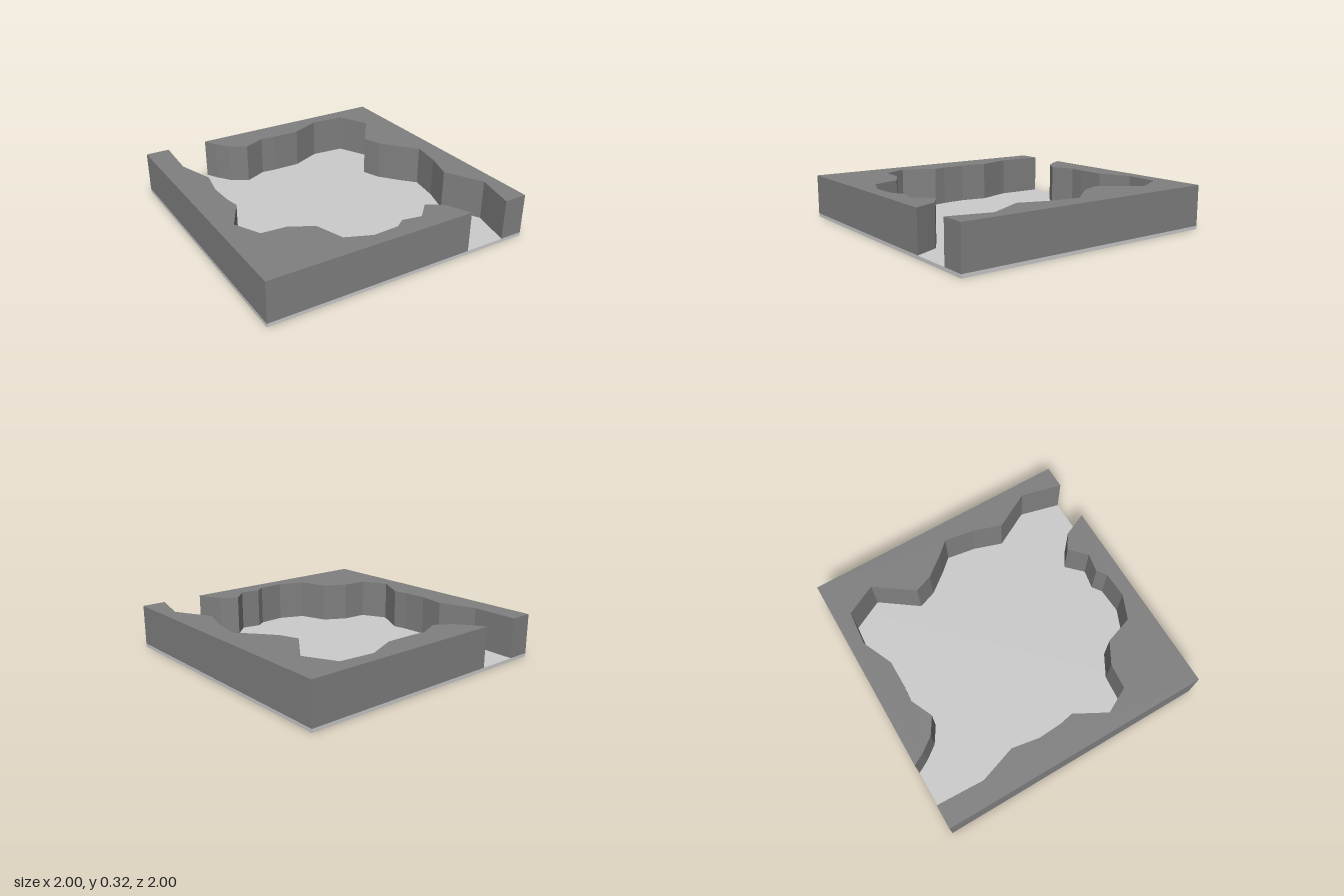
import * as THREE from 'three';

const FLOOR = 0.025, TOP = 0.32;

// Wall block: an outline in [x, z] raised from the floor to the top
function wall(name, outline, material) {
  const shape = new THREE.Shape(outline.map(([x, z]) => new THREE.Vector2(x, -z)));
  const geometry = new THREE.ExtrudeGeometry(shape, { depth: TOP - FLOOR, bevelEnabled: false });
  geometry.rotateX(-Math.PI / 2).translate(0, FLOOR, 0);
  const mesh = new THREE.Mesh(geometry, material);
  mesh.name = name;
  return mesh;
}

export function createModel() {
  const group = new THREE.Group();
  group.name = 'caveRoomTile';
  const rock = new THREE.MeshStandardMaterial({ color: 0x808080, flatShading: true });
  const ground = new THREE.MeshStandardMaterial({ color: 0xcccccc, flatShading: true });

  // Thin square floor slab
  const floor = new THREE.Mesh(new THREE.BoxGeometry(2, FLOOR, 2), ground);
  floor.name = 'floor';
  floor.position.y = FLOOR / 2;

  // Rock along the right side and the front, up to the front opening
  const rightFront = wall('rightFrontWall', [
    [-1, -1], [-0.825, -1], [-0.84, -0.65], [-0.75, -0.38], [-0.785, -0.18], [-0.775, 0],
    [-0.755, 0.1], [-0.88, 0.33], [-0.785, 0.515], [-0.6, 0.53], [-0.44, 0.62], [-0.37, 0.825],
    [-0.19, 0.9], [0, 0.89], [0.07, 0.84], [0.21, 0.865], [0.325, 0.75], [0.44, 0.825],
    [0.52, 1], [-1, 1],
  ], rock);

  // Rock along the back and the left side, starting at the back opening
  const backLeft = wall('backLeftWall', [
    [-0.52, -1], [-0.47, -0.91], [-0.395, -0.81], [-0.275, -0.735], [-0.11, -0.81], [0, -0.8],
    [0.21, -0.8], [0.435, -0.9], [0.69, -0.88], [0.805, -0.655], [0.605, -0.38], [0.655, -0.245],
    [0.77, -0.1], [0.86, 0], [0.825, 0.22], [0.755, 0.43], [0.9, 0.7], [0.825, 1],
    [1, 1], [1, -1],
  ], rock);

  group.add(floor, rightFront, backLeft);
  return group;
}
